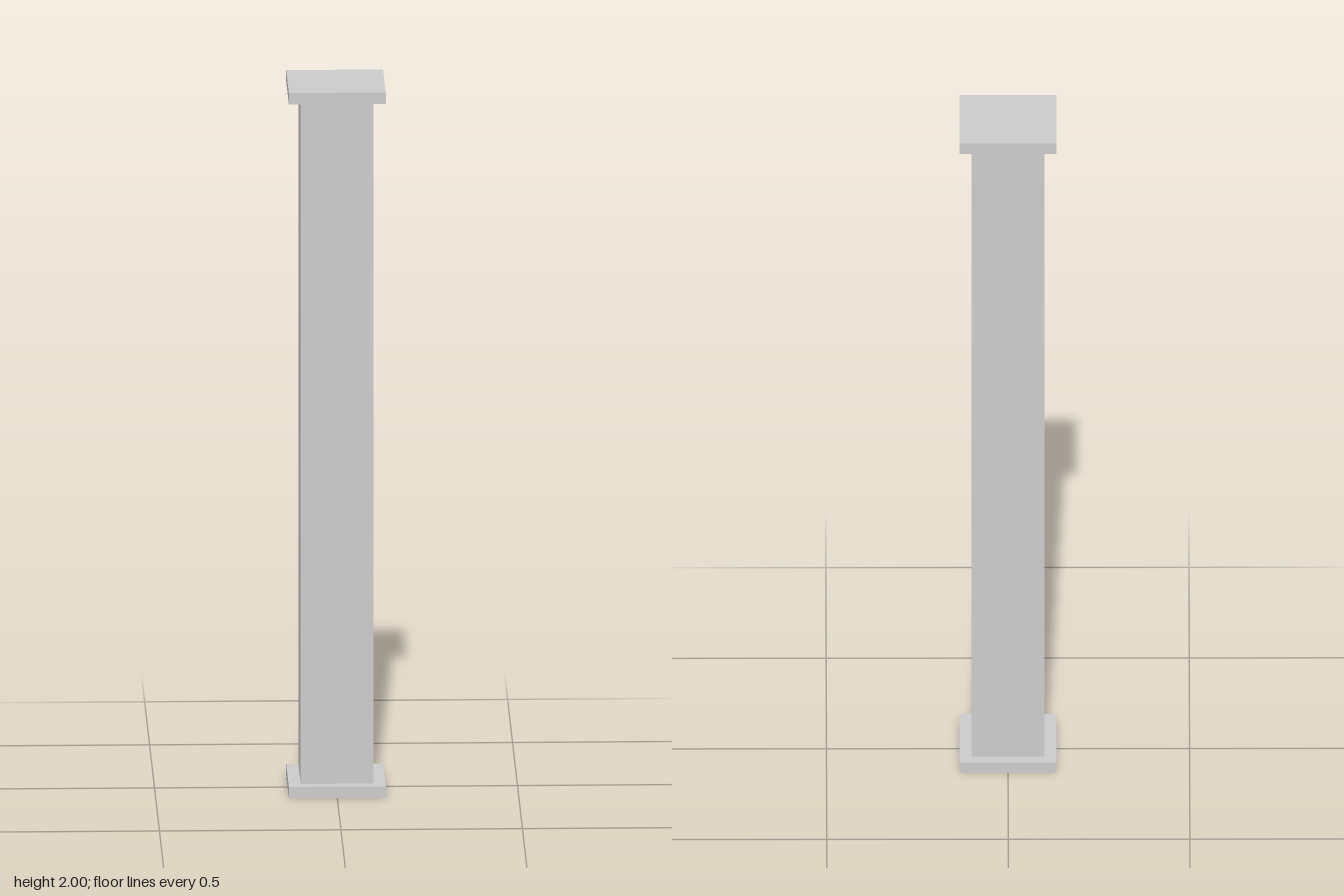
import * as THREE from 'three';

const HEIGHT = 2;
const PLATE_WIDTH = 0.267;
const PLATE_THICKNESS = 0.033;
const SHAFT_WIDTH = 0.2;

export function createModel() {
  const group = new THREE.Group();
  group.name = 'squareColumn';
  const material = new THREE.MeshStandardMaterial({ color: 0xcccccc });

  // Square block standing on the given height
  function addBlock(name, width, height, bottom) {
    const mesh = new THREE.Mesh(new THREE.BoxGeometry(width, height, width), material);
    mesh.name = name;
    mesh.position.y = bottom + height / 2;
    group.add(mesh);
  }

  // Base plate, shaft and matching top plate
  addBlock('basePlate', PLATE_WIDTH, PLATE_THICKNESS, 0);
  addBlock('shaft', SHAFT_WIDTH, HEIGHT - 2 * PLATE_THICKNESS, PLATE_THICKNESS);
  addBlock('topPlate', PLATE_WIDTH, PLATE_THICKNESS, HEIGHT - PLATE_THICKNESS);

  return group;
}
